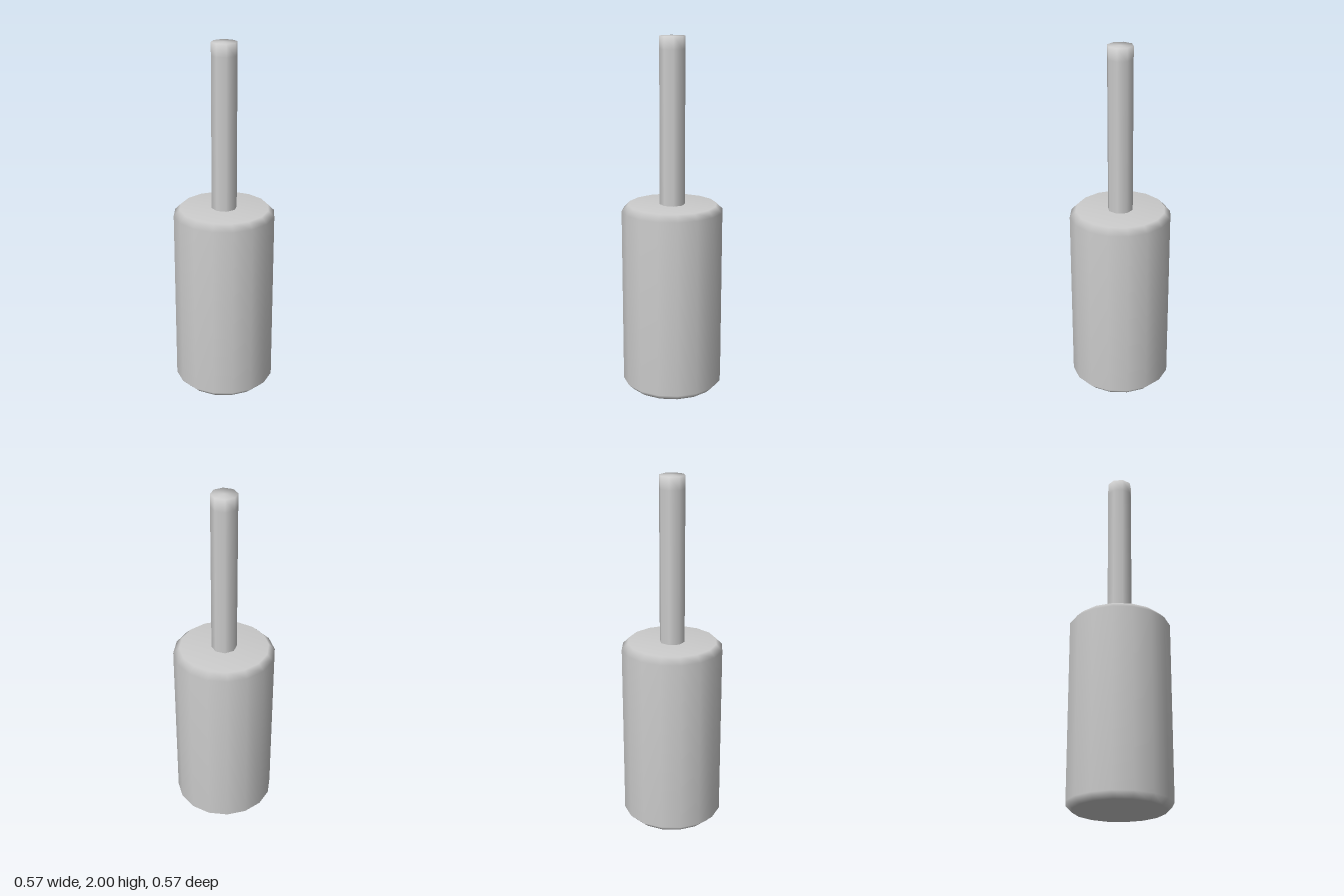
import * as THREE from 'three';

// Smooth-shaded low-poly turned part from a [radius, height] profile, bottom to top.
function turned(name, profile, sides) {
  const points = profile.map(([r, y]) => new THREE.Vector2(r, y));
  const material = new THREE.MeshStandardMaterial({ color: 0xcccccc });
  const mesh = new THREE.Mesh(new THREE.LatheGeometry(points, sides), material);
  mesh.name = name;
  return mesh;
}

export function createModel() {
  const group = new THREE.Group();
  group.name = 'cylinderWithRod';

  const R = 0.285, H = 1.075, bevel = 0.035;
  const rod = 0.071;

  // Wide body with bevelled rims
  group.add(turned('body', [
    [0, 0], [R - bevel, 0], [R, bevel],
    [R, H - bevel], [R - bevel, H], [0, H],
  ], 16));

  // Thin rod with a support loop just below its softly shaded flat end
  group.add(turned('rod', [
    [rod, H - 0.005], [rod, 1.93], [rod, 2], [0, 2],
  ], 8));

  return group;
}
